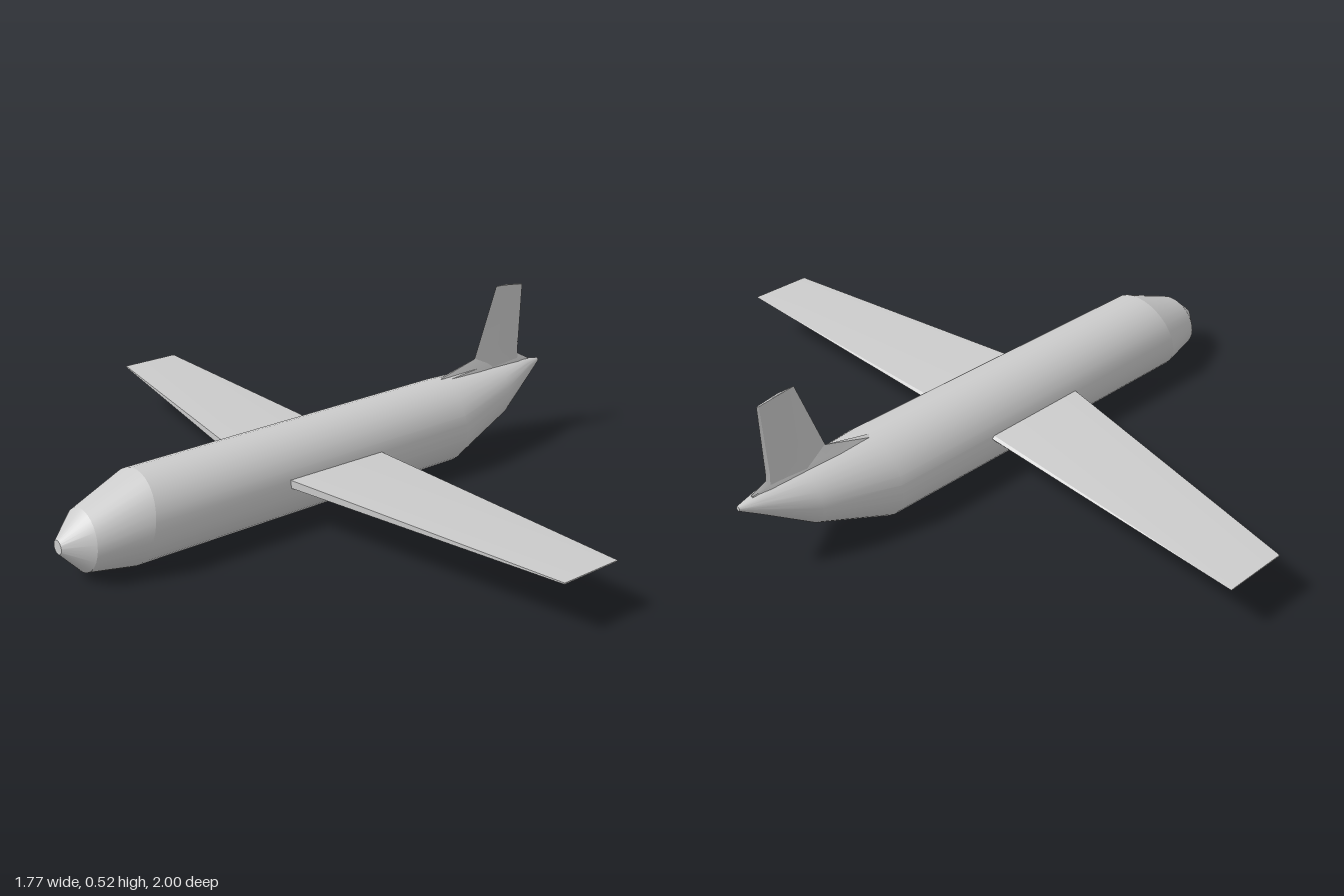
import * as THREE from 'three';
import { toCreasedNormals } from 'three/addons/utils/BufferGeometryUtils.js';

const material = new THREE.MeshStandardMaterial({ color: 0xcccccc });

// Skins a list of equal-sized rings of [x, y, z] points and closes both ends.
function loft(name, rings, crease) {
  const n = rings[0].length;
  const positions = rings.flat(2);
  const index = [];
  for (let r = 0; r < rings.length - 1; r++) {
    for (let i = 0; i < n; i++) {
      const j = (i + 1) % n;
      const a = r * n + i, b = r * n + j, c = a + n, d = b + n;
      index.push(a, b, d, a, d, c);
    }
  }
  [0, rings.length - 1].forEach((r, end) => {
    const centre = positions.length / 3;
    for (let k = 0; k < 3; k++) positions.push(rings[r].reduce((s, p) => s + p[k], 0) / n);
    for (let i = 0; i < n; i++) {
      const a = r * n + i, b = r * n + (i + 1) % n;
      index.push(centre, ...(end ? [a, b] : [b, a]));
    }
  });
  // Signed volume tells whether the faces point outward
  const p = (i) => new THREE.Vector3().fromArray(positions, i * 3);
  let volume = 0;
  for (let i = 0; i < index.length; i += 3) {
    volume += p(index[i]).dot(p(index[i + 1]).cross(p(index[i + 2])));
  }
  if (volume < 0) index.reverse();

  const geometry = new THREE.BufferGeometry();
  geometry.setAttribute('position', new THREE.Float32BufferAttribute(positions, 3));
  geometry.setIndex(index);
  const mesh = new THREE.Mesh(toCreasedNormals(geometry, crease), material);
  mesh.name = name;
  return mesh;
}

// Round body: stations of [x, centre height, radius, forward lean of the ring]
function fuselage() {
  const sides = 32;
  const stations = [
    [-0.885, 0.11, 0.02, 0],
    [-0.817, 0.11, 0.087, 0.008],
    [-0.67, 0.133, 0.13, 0.03],
    [0.45, 0.133, 0.132, 0],
    [0.68, 0.177, 0.083, 0],
    [0.82, 0.222, 0.033, 0],
    [0.885, 0.238, 0.007, 0],
  ];
  return loft('fuselage', stations.map(([x, y, r, lean]) =>
    Array.from({ length: sides }, (_, i) => {
      const a = (i / sides) * Math.PI * 2;
      return [x + lean * Math.sin(a), y + r * Math.sin(a), r * Math.cos(a)];
    })), 0.25);
}

// Tapered wing: blunt edges at the root, thin at the tip
function wing(name, side) {
  const section = (z, lead, trail, t) => [
    [lead, 0.148 + t, z * side],
    [trail - 0.01, 0.148 + t * 0.8, z * side],
    [trail, 0.148 + t * 0.2, z * side],
    [trail - 0.01, 0.148 - t * 0.8, z * side],
    [lead, 0.148 - t, z * side],
  ];
  return loft(name, [section(0.03, -0.243, 0.115, 0.013), section(1, -0.068, 0.126, 0.002)], 0.3);
}

// Upright fin with a streamlined section
function fin() {
  const section = (y, lead, trail, t, drop) => {
    const at = (f, z) => [lead + (trail - lead) * f, y - drop * f * f, z];
    return [at(0, 0), at(0.4, t), at(0.95, t * 0.6), at(1, 0), at(0.95, -t * 0.6), at(0.4, -t)];
  };
  return loft('tailFin', [
    section(0.23, 0.575, 0.8, 0.014, 0),
    section(0.3, 0.6, 0.793, 0.01, 0),
    section(0.522, 0.683, 0.799, 0.004, 0.012),
  ], 0.3);
}

// Low fillet blending the fin into the body: [x, ridge height, half width]
function finFillet() {
  const stations = [[0.45, 0.264, 0.028], [0.605, 0.302, 0.024], [0.79, 0.282, 0.015], [0.84, 0.248, 0.006]];
  return loft('finFillet', stations.map(([x, ridge, w]) => [
    [x, ridge, 0],
    [x, 0.258 + (ridge - 0.258) * 0.3, w * 0.5],
    [x, 0.235, w],
    [x, 0.235, -w],
    [x, 0.258 + (ridge - 0.258) * 0.3, -w * 0.5],
  ]), 0.3);
}

export function createModel() {
  const plane = new THREE.Group();
  plane.name = 'airplane';
  plane.add(fuselage(), wing('wingNear', 1), wing('wingFar', -1), fin(), finFillet());
  return plane;
}
